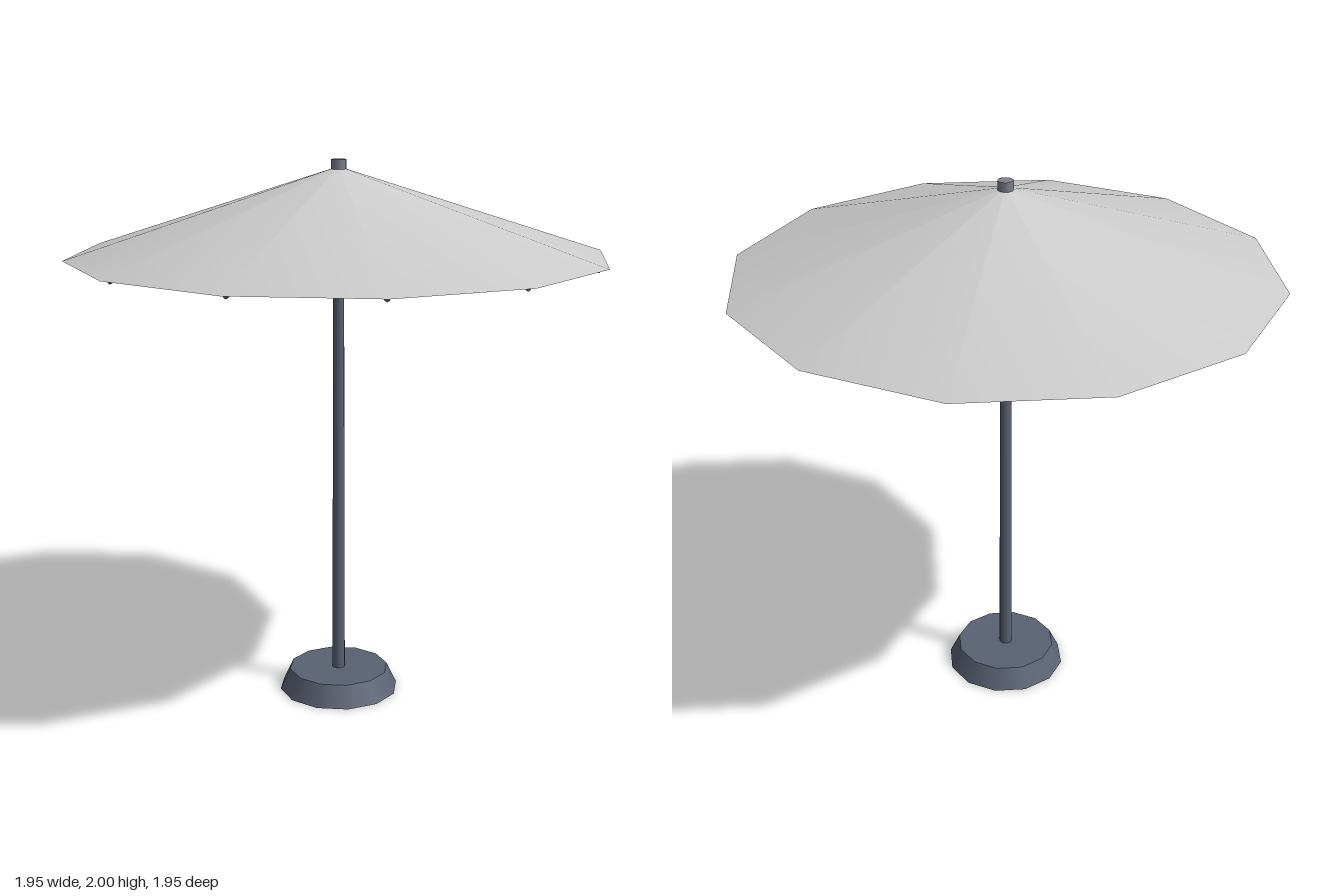
import * as THREE from 'three';

const SIDES = 12;

export function createModel() {
  const model = new THREE.Group();
  const fabric = new THREE.MeshStandardMaterial({ color: 0xcccccc });
  const metal = new THREE.MeshStandardMaterial({ color: 0x5a6274 });
  const cap = new THREE.MeshStandardMaterial({ color: 0x7c828e });

  const add = (name, geometry, material, parent = model) => {
    const mesh = new THREE.Mesh(geometry, material);
    mesh.name = name;
    parent.add(mesh);
    return mesh;
  };

  // Upright round part between two heights
  const turned = (name, rTop, rBottom, y0, y1, material) => {
    const geometry = new THREE.CylinderGeometry(rTop, rBottom, y1 - y0, SIDES);
    return add(name, geometry.translate(0, (y0 + y1) / 2, 0), material);
  };

  turned('base', 0.187, 0.225, 0, 0.08, metal);
  turned('pole', 0.019, 0.024, 0.08, 1.96, metal);
  turned('finial', 0.028, 0.028, 1.96, 2, cap);

  // Twelve-sided canopy, closed underneath
  const rim = 0.975, rimY = 1.66, apexY = 1.975;
  add('canopy', new THREE.ConeGeometry(rim, apexY - rimY, SIDES)
    .translate(0, (rimY + apexY) / 2, 0), fabric);

  // Ribs under the canopy edges, their tips showing below the rim
  const ribs = new THREE.Group();
  ribs.name = 'ribs';
  model.add(ribs);
  const start = new THREE.Vector3(0, 1.955, 0.03);
  const end = new THREE.Vector3(0, 1.654, 0.943);
  const direction = end.clone().sub(start);
  const ribGeometry = new THREE.CylinderGeometry(0.009, 0.009, direction.length(), 6)
    .applyQuaternion(new THREE.Quaternion().setFromUnitVectors(
      new THREE.Vector3(0, 1, 0), direction.clone().normalize()))
    .translate(0, (start.y + end.y) / 2, (start.z + end.z) / 2);
  for (let i = 0; i < SIDES; i++) {
    add('rib', ribGeometry, metal, ribs).rotation.y = (i / SIDES) * Math.PI * 2;
  }

  return model;
}
